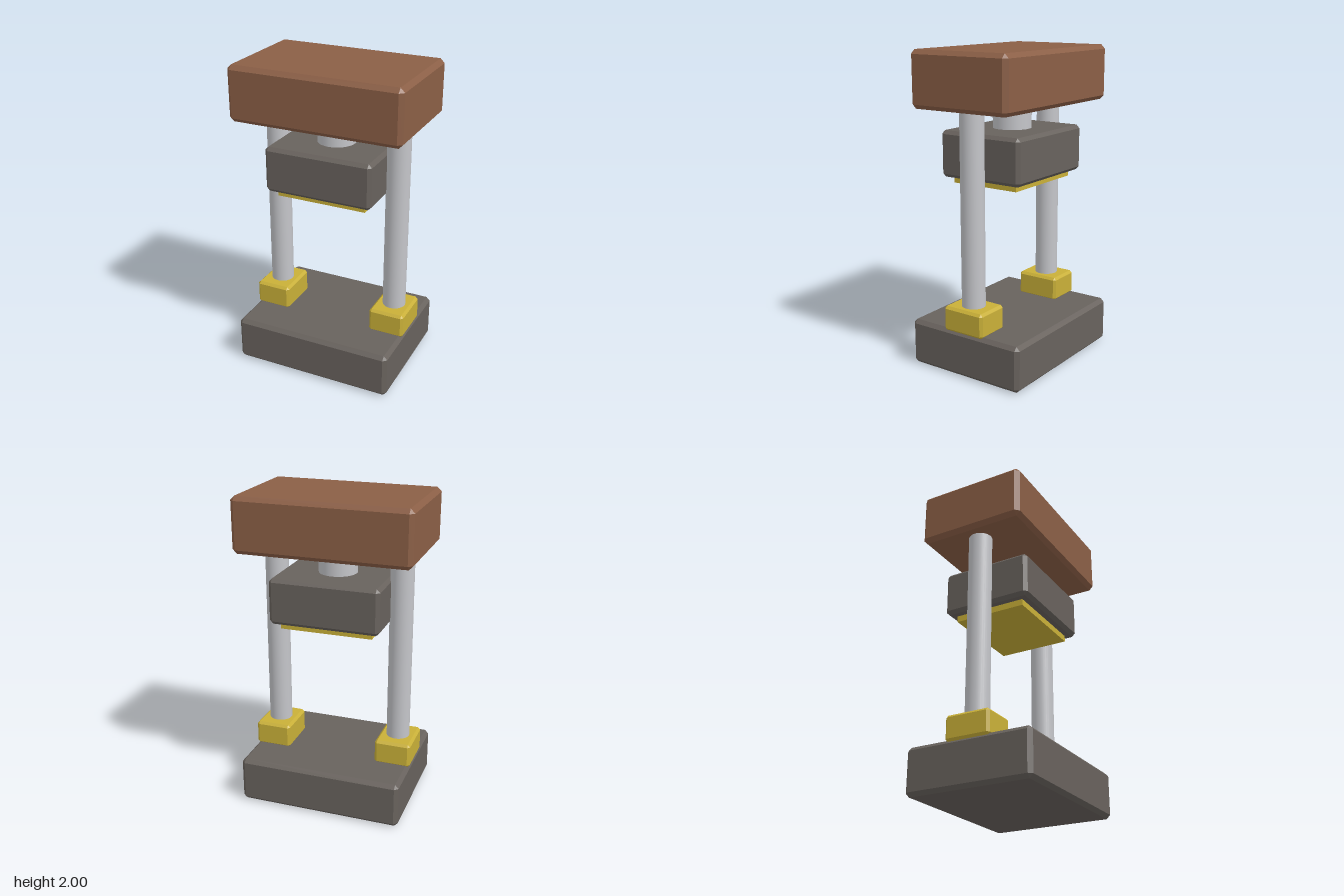
import * as THREE from 'three';
import { ConvexGeometry } from 'three/addons/geometries/ConvexGeometry.js';

const mat = (name, color) => {
  const m = new THREE.MeshStandardMaterial({ color });
  m.name = name;
  return m;
};

// Box with flat chamfers of size c on every edge
function chamferBox(w, h, d, c) {
  const half = [w / 2, h / 2, d / 2];
  const points = [];
  for (const sx of [-1, 1]) for (const sy of [-1, 1]) for (const sz of [-1, 1]) {
    for (let axis = 0; axis < 3; axis++) {
      const p = [sx, sy, sz].map((s, i) => s * (half[i] - (i === axis ? 0 : c)));
      points.push(new THREE.Vector3(...p));
    }
  }
  return new ConvexGeometry(points);
}

export function createModel() {
  const model = new THREE.Group();
  model.name = 'press';

  const brown = mat('brown', 0x8b5f46);
  const iron = mat('dark iron', 0x68625d);
  const steel = mat('steel', 0xc4c5c9);
  const brass = mat('brass', 0xc9b038);

  const add = (name, geometry, material, x, y) => {
    const mesh = new THREE.Mesh(geometry, material);
    mesh.name = name;
    mesh.position.set(x, y, 0);
    model.add(mesh);
  };
  // Parts are placed by their bottom and top heights
  const block = (name, material, x, y0, y1, w, d, c) =>
    add(name, chamferBox(w, y1 - y0, d, c), material, x, (y0 + y1) / 2);
  const rod = (name, x, y0, y1, r) =>
    add(name, new THREE.CylinderGeometry(r, r, y1 - y0, 32), steel, x, (y0 + y1) / 2);

  // Bed and crown
  block('base', iron, 0, 0, 0.295, 1.054, 0.82, 0.024);
  block('crown', brown, 0, 1.65, 2, 1.114, 0.704, 0.027);

  // Columns with foot collars on both sides
  for (const [side, s] of [['left', 1], ['right', -1]]) {
    rod(side + 'Column', s * 0.411, 0.25, 1.7, 0.074);
    block(side + 'Collar', brass, s * 0.411, 0.283, 0.443, 0.234, 0.292, 0.016);
  }

  // Ram, press head and die plate
  rod('ram', 0, 1.45, 1.7, 0.122);
  block('pressHead', iron, 0, 1.21, 1.502, 0.704, 0.586, 0.022);
  add('diePlate', new THREE.BoxGeometry(0.588, 0.06, 0.47), brass, 0, 1.2);

  return model;
}
